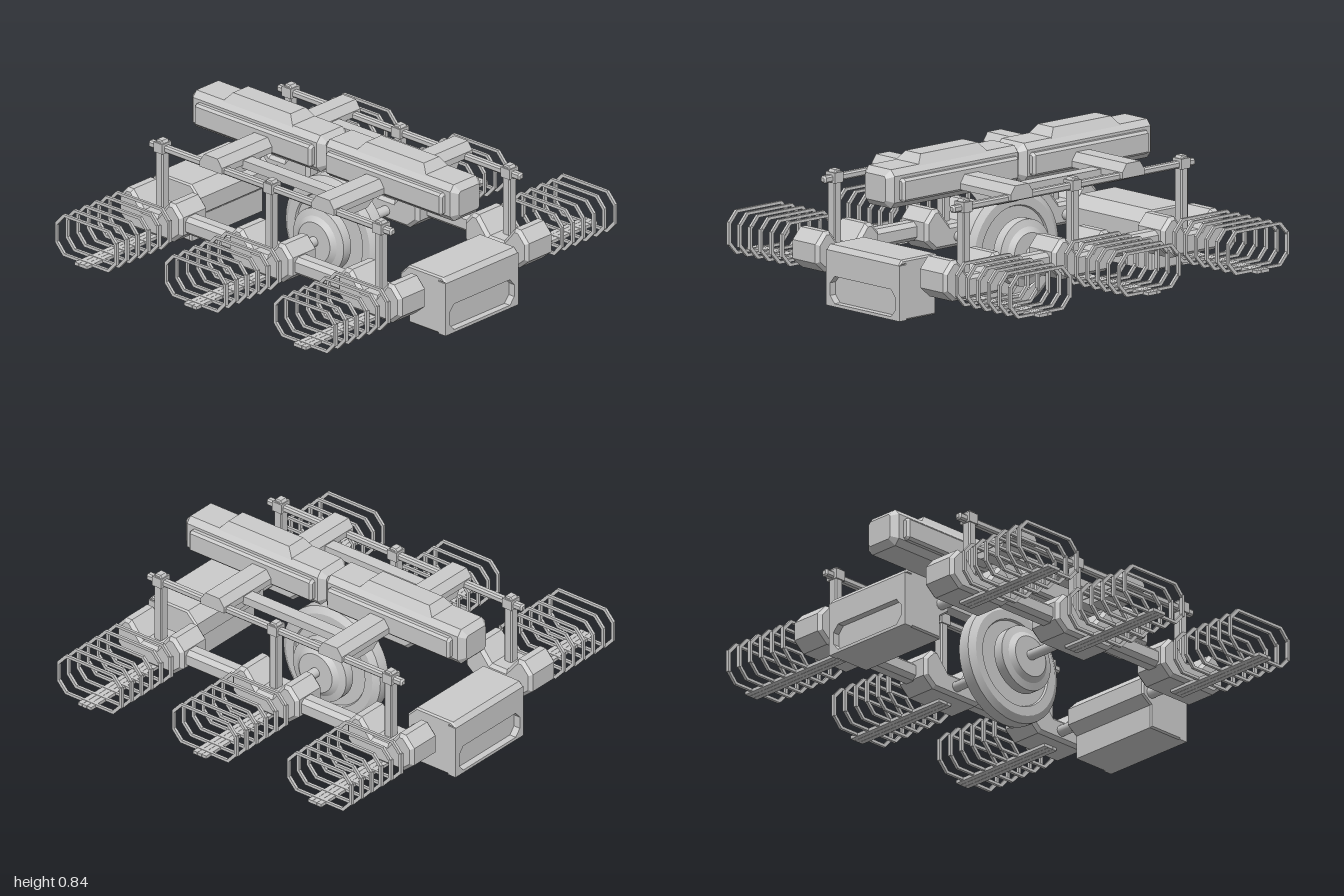
import * as THREE from 'three';
import { toCreasedNormals } from 'three/addons/utils/BufferGeometryUtils.js';

const material = new THREE.MeshStandardMaterial({ color: 0xcccccc, flatShading: true });
const smooth = new THREE.MeshStandardMaterial({ color: 0xcccccc });

function add(parent, name, geometry, x = 0, y = 0, z = 0, mat = material) {
  const mesh = new THREE.Mesh(geometry, mat);
  mesh.name = name;
  mesh.position.set(x, y, z);
  parent.add(mesh);
  return mesh;
}

const toShape = (points) => new THREE.Shape(points.map(([a, b]) => new THREE.Vector2(a, b)));

// Extrusion centred on z whose chamfered ends stay inside the outline
function prism(points, depth, bevel = 0, hole = null) {
  const shape = toShape(points);
  if (hole) shape.holes.push(toShape(hole));
  const geometry = new THREE.ExtrudeGeometry(shape, {
    depth: depth - 2 * bevel, bevelEnabled: bevel > 0, bevelThickness: bevel,
    bevelSize: bevel, bevelOffset: -bevel, bevelSegments: 1,
  });
  return geometry.translate(0, 0, bevel - depth / 2);
}

// Rectangle with cut corners
function octagon(w, y0, y1, cx, cy) {
  return [[-w, y0 + cy], [-w + cx, y0], [w - cx, y0], [w, y0 + cy],
    [w, y1 - cy], [w - cx, y1], [-w + cx, y1], [-w, y1 - cy]];
}

// Box with a smaller top
function frustum(w, h, d, topX, topZ) {
  const geometry = new THREE.BoxGeometry(w, h, d);
  const p = geometry.attributes.position;
  for (let i = 0; i < p.count; i++) {
    if (p.getY(i) > 0) p.setXYZ(i, p.getX(i) * topX, p.getY(i), p.getZ(i) * topZ);
  }
  geometry.computeVertexNormals();
  return geometry;
}

function rod(radius, length, axis, sides = 12) {
  const geometry = new THREE.CylinderGeometry(radius, radius, length, sides);
  if (axis === 'x') geometry.rotateZ(Math.PI / 2);
  else geometry.rotateX(Math.PI / 2);
  return toCreasedNormals(geometry, 0.7);
}

// Twin upper hulls with side panels and raised caps
function buildHull(root) {
  for (const s of [-1, 1]) {
    const hull = new THREE.Group();
    hull.name = 'upperHull';
    hull.position.x = s * 0.4225;
    add(hull, 'hullBody', prism(octagon(0.1, 0.62, 0.805, 0.025, 0.03), 0.845, 0.03).rotateY(Math.PI / 2));
    add(hull, 'hullSidePanels', prism(octagon(0.13, 0.65, 0.762, 0.012, 0.012), 0.74, 0.012).rotateY(Math.PI / 2), -s * 0.008);
    add(hull, 'hullCap', frustum(0.445, 0.047, 0.16, 0.82, 0.65), 0, 0.8225);
    root.add(hull);
  }
}

// Cross arms carrying the hull, their braces and the long rails
function buildArms(root) {
  const section = [[-0.07, 0.66], [0.07, 0.66], [0.07, 0.69], [0.042, 0.73], [-0.042, 0.73], [-0.07, 0.69]];
  const keel = [[0.16, 0.68], [0.24, 0.625], [0.375, 0.625], [0.41, 0.69], [0.16, 0.69]];
  for (const sx of [-1, 1]) {
    add(root, 'crossArm', prism(section, 0.95), sx * 0.355);
    for (const sz of [-1, 1]) {
      const geometry = prism(keel, 0.13).rotateY(sz > 0 ? -Math.PI / 2 : Math.PI / 2);
      add(root, 'armKeel', geometry, sx * 0.355);
    }
  }
  for (const sz of [-1, 1]) {
    add(root, 'armBrace', new THREE.BoxGeometry(0.6, 0.04, 0.065), 0, 0.665, sz * 0.298);
    add(root, 'mastRail', prism(octagon(0.018, 0.65, 0.685, 0.008, 0.008), 1.54, 0.008).rotateY(Math.PI / 2), 0, 0, sz * 0.44);
  }
}

// Central wheel, turned profile on a z axle
function buildWheel(root) {
  const half = [[0, 0.15], [0.1, 0.15], [0.125, 0.13], [0.16, 0.12], [0.16, 0.07], [0.1, 0.07],
    [0.1, 0.04], [0.21, 0.04], [0.215, 0.05], [0.26, 0.05], [0.292, 0.03]];
  const profile = [...half.map(([r, z]) => [r, -z]), ...half.slice().reverse()];
  const geometry = new THREE.LatheGeometry(profile.map(([r, z]) => new THREE.Vector2(r, z)), 40);
  add(root, 'wheel', toCreasedNormals(geometry.rotateX(Math.PI / 2), 0.35), 0, 0.295, 0, smooth);
  add(root, 'axle', rod(0.025, 0.76, 'z'), 0, 0.3, 0, smooth);
}

// Side housings with a recessed slot in the outer wall
function buildHousings(root) {
  const body = [[0.69, 0.125], [0.89, 0.125], [0.89, 0.39], [0.925, 0.39], [0.905, 0.415],
    [0.69, 0.415], [0.635, 0.36], [0.635, 0.28], [0.69, 0.24]];
  const wall = [[-0.25, 0.125], [0.25, 0.125], [0.25, 0.39], [-0.25, 0.39]];
  for (const s of [-1, 1]) {
    const housing = new THREE.Group();
    housing.name = 'sideHousing';
    housing.rotation.y = s > 0 ? 0 : Math.PI;
    add(housing, 'housingBody', prism(body, 0.5, 0.008));
    add(housing, 'housingSlotWall', prism(wall, 0.045, 0, octagon(0.222, 0.14, 0.27, 0.03, 0.035)).rotateY(Math.PI / 2), 0.9025);
    root.add(housing);
    add(root, 'housingRod', rod(0.027, 0.76, 'z'), s * 0.69, 0.3, 0, smooth);
  }
}

// Notched junction block, mast and ribbed cage reaching outward along +z
function buildStation() {
  const station = new THREE.Group();
  station.name = 'ribStation';
  const block = [[-0.2, 0.3], [-0.14, 0.25], [0.14, 0.25], [0.2, 0.3], [0.2, 0.39], [0.15, 0.445],
    [0.115, 0.445], [0.045, 0.36], [-0.045, 0.36], [-0.115, 0.445], [-0.15, 0.445], [-0.2, 0.39]];
  add(station, 'junctionBlock', prism(block, 0.186, 0.016), 0, 0, 0.435);
  add(station, 'mast', prism(octagon(0.023, 0.35, 0.71, 0.008, 0.012), 0.05, 0.006), 0, 0, 0.44);
  add(station, 'mastClamp', new THREE.BoxGeometry(0.056, 0.05, 0.064), 0, 0.672, 0.44);

  // Spine of three parallel strips
  for (const i of [-1, 0, 1]) {
    add(station, 'spineStrip', new THREE.BoxGeometry(0.0255, 0.016, 0.585), i * 0.027, 0.244, 0.7075);
  }
  // Slender octagonal ribs with a thicker upright on one side
  for (let i = 0; i < 6; i++) {
    const z = 0.597 + i * 0.0725;
    const outer = octagon(0.195, 0.24, 0.452, 0.05, 0.055);
    const inner = octagon(0.181, 0.254, 0.438, 0.045, 0.05);
    add(station, 'rib', prism(outer, 0.014, 0, inner), 0, 0, z);
    add(station, 'ribUpright', new THREE.BoxGeometry(0.014, 0.11, 0.019), 0.189, 0.346, z);
  }
  return station;
}

export function createModel() {
  const root = new THREE.Group();
  root.name = 'wheeledFrame';
  buildHull(root);
  buildArms(root);
  buildWheel(root);
  buildHousings(root);

  // Three stations on each side, linked by bars
  for (const sz of [-1, 1]) {
    for (const x of [-0.693, 0, 0.693]) {
      const station = buildStation();
      station.position.x = x;
      station.rotation.y = sz > 0 ? 0 : Math.PI;
      root.add(station);
    }
    for (const sx of [-1, 1]) {
      add(root, 'linkBar', prism(octagon(0.046, 0.295, 0.385, 0.022, 0.02), 0.36).rotateY(Math.PI / 2), sx * 0.345, 0, sz * 0.452);
    }
  }
  return root;
}
